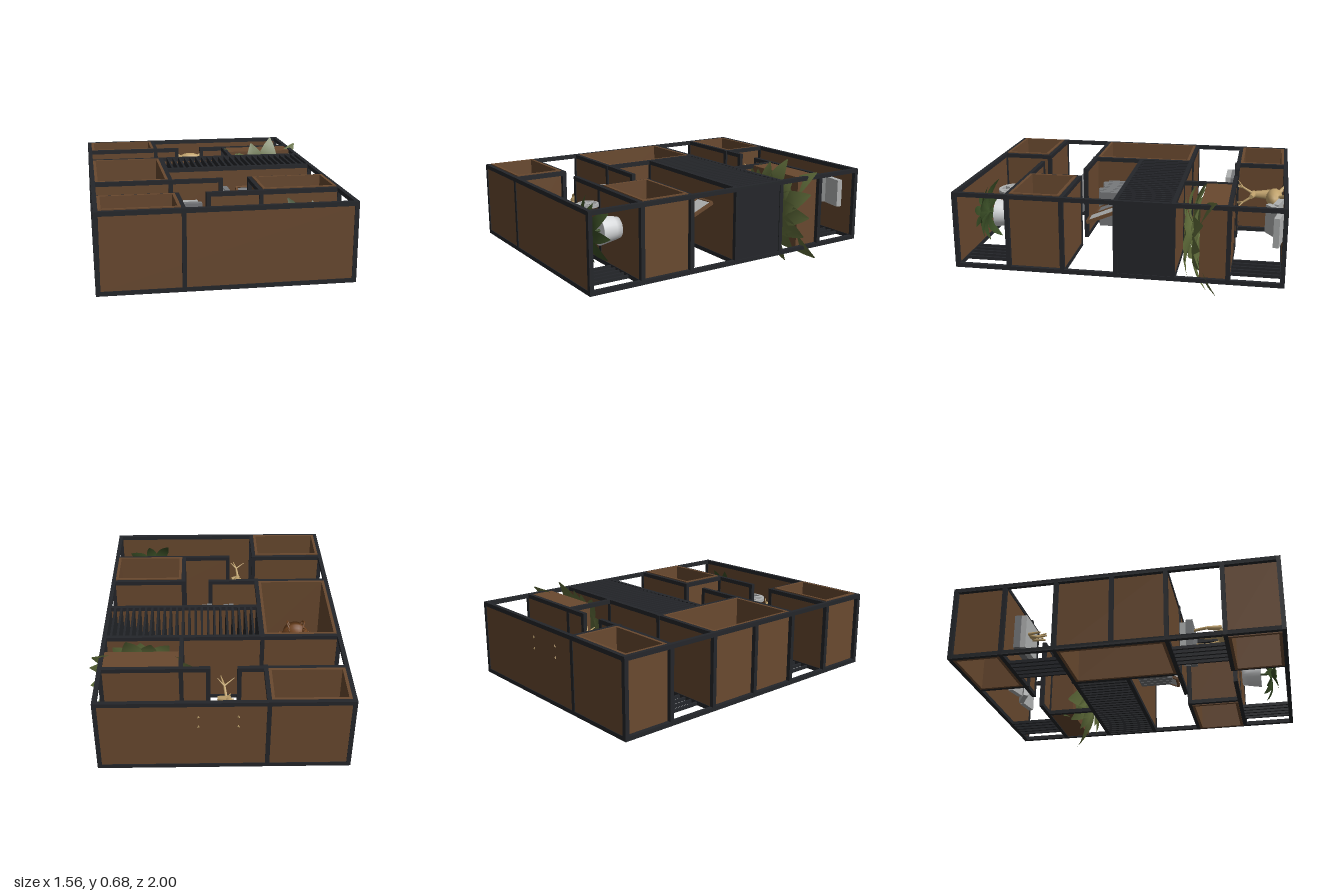
import * as THREE from 'three';

const mat = (name, color, side = THREE.FrontSide) => {
  const m = new THREE.MeshStandardMaterial({ color, side });
  m.name = name;
  return m;
};
const D = THREE.DoubleSide;
const M = {
  frame: mat('blackMetal', 0x24262a),
  wood: mat('brownWood', 0x69492f),
  white: mat('whiteCeramic', 0xd4d6d8, D),
  grey: mat('greyBook', 0x77797c),
  pale: mat('paleGrey', 0xb0b2b2),
  bone: mat('tan', 0xc0a26c),
  olive: mat('oliveLeaf', 0x616e3b, D),
  dark: mat('darkLeaf', 0x3a4e26, D),
  yellow: mat('yellowLeaf', 0x8a8414, D),
  copper: mat('copper', 0x70431f, D),
};
const Y0 = 0.12, Y1 = 0.6, T = 0.026, L = -0.762, R = 0.692, MID = 0.36;

function add(parent, name, geo, m, x = 0, y = 0, z = 0) {
  const mesh = new THREE.Mesh(geo, m);
  mesh.name = name;
  mesh.position.set(x, y, z);
  parent.add(mesh);
  return mesh;
}
// box given by its limits on each axis
const block = (p, name, m, x0, x1, y0, y1, z0, z1) =>
  add(p, name, new THREE.BoxGeometry(x1 - x0, y1 - y0, z1 - z0), m, (x0 + x1) / 2, (y0 + y1) / 2, (z0 + z1) / 2);

function group(parent, name, x = 0, y = 0, z = 0) {
  const g = new THREE.Group();
  g.name = name;
  g.position.set(x, y, z);
  parent.add(g);
  return g;
}
// group whose local up points along +z, the upward direction of the shelving
function standing(parent, name, x, y, z) {
  const g = group(parent, name, x, y, z);
  g.rotation.x = Math.PI / 2;
  return g;
}
// tapered stick between two points
function stick(p, name, m, a, b, r0, r1 = r0) {
  const A = new THREE.Vector3(...a), d = new THREE.Vector3(...b).sub(A);
  const s = add(p, name, new THREE.CylinderGeometry(r1, r0, d.length(), 7), m);
  s.position.copy(A).addScaledVector(d, 0.5);
  s.quaternion.setFromUnitVectors(new THREE.Vector3(0, 1, 0), d.normalize());
}
const lathe = (p, name, m, pts) =>
  add(p, name, new THREE.LatheGeometry(pts.map(q => new THREE.Vector2(...q)), 24), m);

// arched leaf along +x: rises, then droops
function leaf(len, width, rise, droop) {
  const g = new THREE.PlaneGeometry(1, 1, 7, 2), p = g.attributes.position;
  for (let i = 0; i < p.count; i++) {
    const u = p.getX(i) + 0.5, v = p.getY(i) * 2;
    const w = width / 2 * Math.sin(Math.PI * (0.06 + 0.92 * Math.pow(u, 1.2)));
    p.setXYZ(i, u * len, rise * u - droop * u * u + Math.abs(v) * width * 0.12 * (1 - u), -v * w);
  }
  g.computeVertexNormals();
  return g;
}
function rosette(p, m, y, n, len, width, rise, droop, turn = 0) {
  for (let i = 0; i < n; i++) {
    const k = 1 + 0.12 * Math.sin(i * 2.4 + turn);
    add(p, 'leaf', leaf(len * k, width, rise, droop * k), m, 0, y, 0).rotation.y = turn + i / n * Math.PI * 2;
  }
}

function buildFrame(root) {
  const g = group(root, 'frame'), h = T / 2;
  const post = (x, z) => block(g, 'post', M.frame, x - h, x + h, Y0, Y1, z - h, z + h);
  const rails = (name, x0, x1, z0, z1) => {
    block(g, name, M.frame, x0, x1, Y0, Y0 + T, z0, z1);
    block(g, name, M.frame, x0, x1, Y1 - T, Y1, z0, z1);
  };
  // shelves: height, start and end
  const shelves = [[-0.987, L, R], [-0.67, L, -0.13], [-0.67, 0.055, R], [-0.345, L, R], [-0.002, -0.275, R],
    [0.325, L, 0.03], [0.325, 0.215, R], [0.66, L, -0.285], [0.66, -0.1, R], [0.987, L, R]];
  for (const [z, a, b] of shelves) {
    rails('shelfRail', a - h, b + h, z - h, z + h);
    post(a, z);
    post(b, z);
    block(g, 'shelfPanel', M.wood, a + h, b - h, Y0 + T, Y1 - T, z - 0.009, z + 0.009);
  }
  // uprights
  for (const x of [L, R]) rails('sideRail', x - h, x + h, -1, 1);
  for (const [x, a, b] of [[-0.285, -1, -0.66], [-0.285, -0.35, 0.33], [-0.285, 0.66, 1], [0.215, -0.67, -0.345], [0.215, 0.325, 0.66]]) {
    rails('innerRail', x - h, x + h, a, b);
    post(x, Math.max(a, -0.987));
    post(x, Math.min(b, 0.987));
  }
  post(L, -0.002);
  // deep fins
  for (let i = 0; i < 25; i++) {
    const x = -0.272 + i * 0.0402;
    block(g, 'fin', M.frame, x - 0.007, x + 0.007, Y0, Y1, -0.345, -0.002);
  }
  // slatted rear screens
  for (const [x, a, b] of [[-0.53, -0.67, -0.345], [-0.53, 0.325, 0.66], [0.45, -0.987, -0.67], [0.45, 0.66, 0.987]])
    for (let i = -2; i <= 2; i++)
      block(g, 'slat', M.frame, x + i * 0.052 - 0.007, x + i * 0.052 + 0.007, Y0, Y0 + 0.02, a, b);
}

// open wooden sleeve lining a compartment
function sleeve(root, x0, x1, z0, z1, e) {
  const g = group(root, 'woodenBox'), t = 0.018, a = Y0 - e, b = Y1 + e;
  block(g, 'boxSide', M.wood, x0, x0 + t, a, b, z0, z1);
  block(g, 'boxSide', M.wood, x1 - t, x1, a, b, z0, z1);
  block(g, 'boxBase', M.wood, x0 + t, x1 - t, a, b, z0, z0 + t);
  block(g, 'boxTop', M.wood, x0 + t, x1 - t, a, b, z1 - t, z1);
}

function pottedPlant(root, x, y, z, r, h, reach, lift) {
  const g = standing(root, 'pottedPlant', x, y, z);
  lathe(g, 'pot', M.white, [[0, 0], [r * 0.72, 0], [r * 0.82, h * 0.3], [r, h], [r * 0.9, h], [0, h * 0.9]]);
  stick(g, 'stem', M.dark, [0, h * 0.8, 0], [0, h + lift, 0], 0.008);
  rosette(g, M.dark, h + lift, 9, reach, reach * 0.38, 0.1, 0.12);
  rosette(g, M.dark, h + lift, 6, reach * 0.6, reach * 0.3, 0.13, 0.07, 0.4);
}

function reel(root, x, y, z, r) {
  const s = new THREE.Shape().absarc(0, 0, r, 0, Math.PI * 2);
  for (let i = 0; i < 6; i++) {
    const a = i * Math.PI / 3 + 0.13, b = (i + 1) * Math.PI / 3 - 0.13, c = new THREE.Path();
    c.absarc(0, 0, r * 0.82, a, b, false);
    c.absarc(0, 0, r * 0.28, b - 0.1, a + 0.1, true);
    c.closePath();
    s.holes.push(c);
  }
  const geo = new THREE.ExtrudeGeometry(s, { depth: 0.02, bevelEnabled: false, curveSegments: 24 });
  add(root, 'reel', geo, M.pale, x, y, z).rotation.x = Math.PI / 2;
}

// branching antler pair on a head at (x, y, z)
function antlers(g, x, y, z, s) {
  for (const d of [-1, 1]) {
    const b = [x + 0.01, y + d * 0.05, z + 0.07 * s], c = [x + d * 0.03, y + d * 0.07, z + 0.15 * s];
    stick(g, 'antler', M.bone, [x, y + d * 0.01, z], b, 0.009, 0.007);
    stick(g, 'antler', M.bone, b, c, 0.007, 0.003);
    for (const k of [-1, 1]) stick(g, 'tine', M.bone, b, [x + k * 0.05, y + d * 0.08, z + 0.11 * s], 0.006, 0.002);
  }
}
function ball(g, x, y, z, a, b, c) {
  add(g, 'body', new THREE.SphereGeometry(1, 12, 8), M.bone, x, y, z).scale.set(a, b, c);
}

function buildOrnaments(root) {
  // spreading plant in a trough
  block(root, 'planter', M.wood, 0.23, 0.678, Y0 + 0.005, Y1 - 0.005, -0.656, -0.5);
  const big = standing(root, 'spreadingPlant', 0.465, 0.35, -0.5);
  rosette(big, M.olive, 0.01, 14, 0.315, 0.14, 0.16, 0.18);
  rosette(big, M.olive, 0.02, 10, 0.27, 0.13, 0.22, 0.16, 0.3);
  rosette(big, M.olive, 0, 4, 0.36, 0.13, 0.12, 0.2, Math.PI / 4);
  rosette(big, M.olive, 0.03, 7, 0.16, 0.1, 0.14, 0.07, 0.2);

  pottedPlant(root, 0.445, 0.4, 0.675, 0.088, 0.13, 0.2, 0.05);
  pottedPlant(root, 0.447, MID, 0.36, 0.062, 0.125, 0.125, 0.065);

  // round bowl with yellow leaves
  const bowl = standing(root, 'bowlPlant', -0.535, MID, 0.685);
  lathe(bowl, 'bowl', M.white, [[0, 0], [0.07, 0], [0.11, 0.04], [0.127, 0.09], [0.12, 0.12], [0, 0.125]]);
  rosette(bowl, M.yellow, 0.115, 10, 0.135, 0.06, 0.1, 0.11);
  rosette(bowl, M.yellow, 0.125, 6, 0.09, 0.05, 0.1, 0.03, 0.4);

  reel(root, 0.065, 0.45, 0.795, 0.122);
  reel(root, 0.195, 0.5, 0.735, 0.064);

  // bell lamp with scroll arms
  const lamp = standing(root, 'lamp', -0.533, MID, -0.31);
  lathe(lamp, 'lampBase', M.frame, [[0, 0], [0.066, 0], [0.066, 0.012], [0.034, 0.016], [0.034, 0.09], [0.05, 0.095], [0.05, 0.105], [0, 0.105]]);
  lathe(lamp, 'lampBell', M.copper, [[0, 0.1], [0.02, 0.105], [0.011, 0.13], [0.011, 0.17], [0.026, 0.185], [0.013, 0.2],
    [0.055, 0.215], [0.06, 0.25], [0.075, 0.285], [0.09, 0.3], [0.09, 0.315], [0.078, 0.33], [0.075, 0.365], [0, 0.365]]);
  const scroll = new THREE.CatmullRomCurve3([[0.06, 0.33], [0.1, 0.35], [0.115, 0.31], [0.085, 0.27], [0.09, 0.24], [0.108, 0.245], [0.1, 0.262]]
    .map(([x, y]) => new THREE.Vector3(x, y, 0)));
  for (let i = 0; i < 6; i++)
    add(lamp, 'scrollArm', new THREE.TubeGeometry(scroll, 24, 0.005, 6), M.copper).rotation.y = i * Math.PI / 3;

  // upright books
  for (let i = 0; i < 8; i++) {
    const x = -0.165 + i * 0.037, h = 0.205 + 0.028 * ((i * 3) % 4) / 3;
    block(root, 'book', M.grey, x, x + 0.033, 0.24, 0.47, 0.011, h);
  }
  // leaning pictures
  for (const [x, z, w, h, m, turn] of [[0.255, 0.105, 0.13, 0.19, M.grey, 0], [0.41, 0.12, 0.14, 0.21, M.pale, 0.05]]) {
    const g = group(root, 'picture', x, 0.42, z);
    g.rotation.set(0.38, turn, 0);
    for (const d of [-1, 1]) {
      block(g, 'pictureFrame', M.wood, d * w / 2 - 0.007, d * w / 2 + 0.007, -0.01, 0.01, -h / 2, h / 2);
      block(g, 'pictureFrame', M.wood, -w / 2, w / 2, -0.01, 0.01, d * h / 2 - 0.007, d * h / 2 + 0.007);
    }
    block(g, 'pictureFace', m, -w / 2, w / 2, -0.004, 0.004, -h / 2, h / 2);
  }
  // lying books
  for (const [x0, x1, z0, z1, m] of [[-0.31, -0.12, 0.339, 0.38, M.pale], [-0.34, -0.1, 0.381, 0.425, M.grey],
    [-0.6, -0.355, -0.656, -0.615, M.grey], [-0.595, -0.375, -0.614, -0.58, M.pale]])
    block(root, 'lyingBook', m, x0, x1, 0.25, 0.47, z0, z1);
  // tumbled books
  for (const [x, z, w, turn] of [[0.27, -0.945, 0.13, -0.25], [0.39, -0.925, 0.16, 0.55], [0.54, -0.95, 0.14, -0.18]])
    add(root, 'tumbledBook', new THREE.BoxGeometry(w, 0.18, 0.035), M.pale, x, 0.42, z).rotation.y = turn;

  // standing stag
  const stag = group(root, 'standingStag');
  ball(stag, -0.215, 0.4, 0.6, 0.075, 0.04, 0.04);
  for (const y of [0.375, 0.425]) for (const [x, k] of [[-0.27, -0.02], [-0.165, 0.015]]) {
    stick(stag, 'leg', M.bone, [x, y, 0.6], [x + k, y, 0.51], 0.02, 0.011);
    stick(stag, 'leg', M.bone, [x + k, y, 0.51], [x, y, 0.425], 0.01, 0.009);
  }
  stick(stag, 'neck', M.bone, [-0.165, 0.4, 0.61], [-0.17, 0.4, 0.7], 0.03, 0.018);
  stick(stag, 'head', M.bone, [-0.185, 0.4, 0.695], [-0.13, 0.4, 0.68], 0.022, 0.012);
  antlers(stag, -0.175, 0.4, 0.7, 0.7);

  // resting stag
  const rest = group(root, 'restingStag');
  ball(rest, 0, 0.45, -0.92, 0.1, 0.06, 0.055);
  for (const y of [0.4, 0.47]) for (const d of [-1, 1])
    stick(rest, 'leg', M.bone, [d * 0.06, y, -0.95], [d * 0.12, y + 0.03, -0.992], 0.015, 0.011);
  stick(rest, 'neck', M.bone, [-0.075, 0.45, -0.92], [-0.065, 0.45, -0.79], 0.038, 0.022);
  stick(rest, 'head', M.bone, [-0.075, 0.45, -0.785], [0, 0.45, -0.77], 0.025, 0.014);
  antlers(rest, -0.05, 0.45, -0.78, 0.9);

  // small hand-like ornament
  for (let i = -2; i <= 2; i++)
    stick(root, 'finger', M.bone, [-0.505 + i * 0.02, MID, -0.58], [-0.505 + i * 0.028, MID + (i % 2) * 0.03, -0.475 - Math.abs(i) * 0.012], 0.011, 0.005);
}

export function createModel() {
  const root = new THREE.Group();
  root.name = 'shelvingUnit';
  buildFrame(root);
  sleeve(root, -0.749, -0.298, -0.974, -0.683, 0);
  sleeve(root, -0.749, -0.298, -0.332, 0.312, 0);
  sleeve(root, -0.749, -0.298, 0.673, 0.974, 0.006);
  sleeve(root, 0.228, 0.679, 0.338, 0.647, 0.006);
  buildOrnaments(root);
  return root;
}
